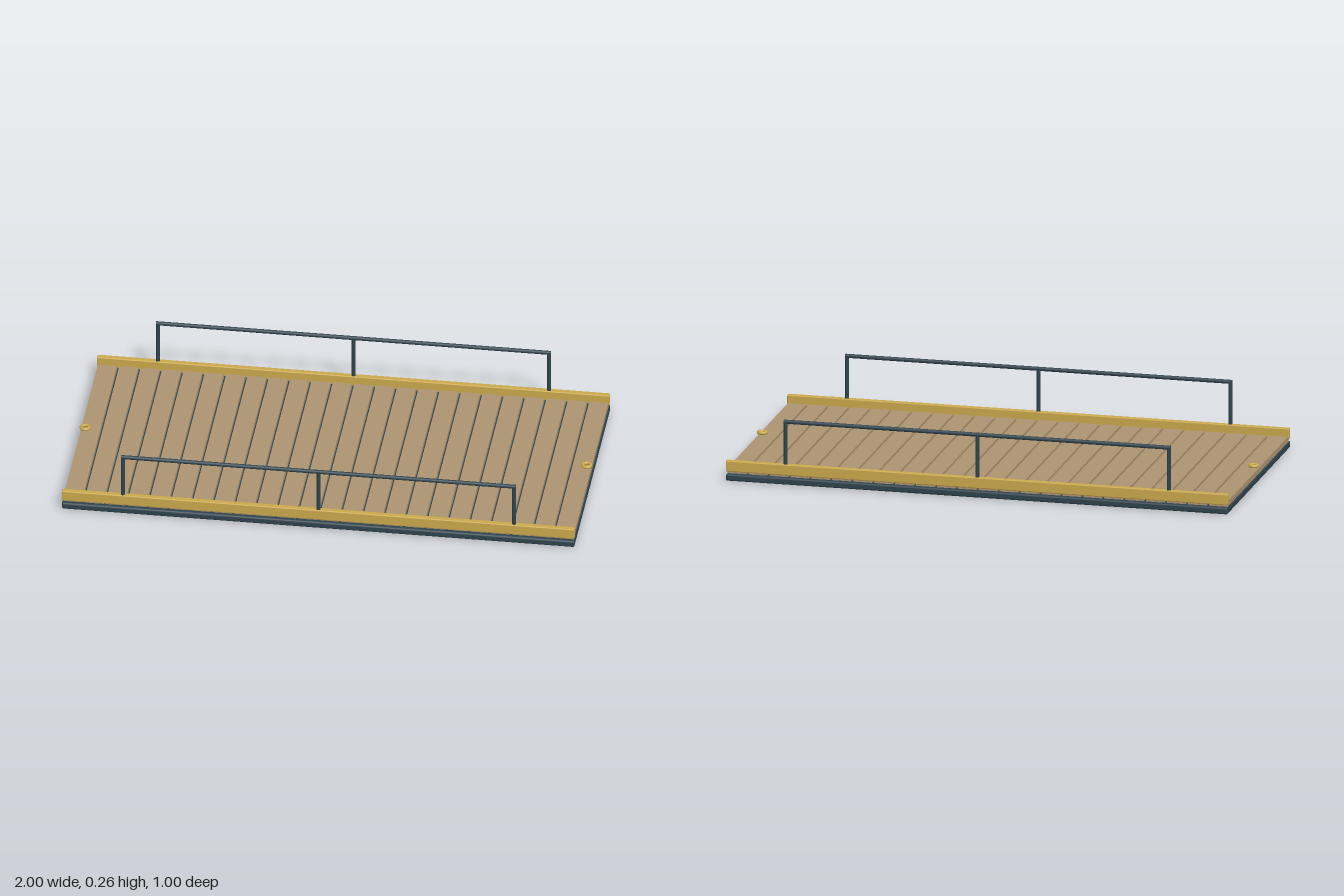
import * as THREE from 'three';
import { RoundedBoxGeometry } from 'three/addons/geometries/RoundedBoxGeometry.js';

function material(name, color) {
  const m = new THREE.MeshStandardMaterial({ color });
  m.name = name;
  return m;
}

export function createModel() {
  const group = new THREE.Group();
  const steel = material('dark slate steel', 0x2f434c);
  const wood = material('weathered wood', 0xab9370);
  const brass = material('brass yellow', 0xc9a84c);
  const rust = material('rust', 0xa0582c);

  function add(name, geometry, mat, x, y, z) {
    const mesh = new THREE.Mesh(geometry, mat);
    mesh.name = name;
    mesh.position.set(x, y, z);
    group.add(mesh);
    return mesh;
  }

  // Base slab
  add('base', new RoundedBoxGeometry(2, 0.027, 1, 2, 0.007), steel, 0, 0.0135, 0);

  // Deck planks laid across the length
  const count = 24, pitch = 2 / count;
  const plank = new THREE.BoxGeometry(pitch - 0.009, 0.022, 0.966);
  for (let i = 0; i < count; i++) {
    add('plank', plank, wood, -1 + (i + 0.5) * pitch, 0.037, 0);
  }

  // Kerb, handrail and posts on both long sides
  const kerb = new RoundedBoxGeometry(2, 0.043, 0.023, 2, 0.004);
  const rail = new THREE.CylinderGeometry(0.008, 0.008, 1.54, 16).rotateZ(Math.PI / 2);
  const post = new THREE.CylinderGeometry(0.0078, 0.0078, 0.205, 16);
  for (const side of [-1, 1]) {
    add('kerb', kerb, brass, 0, 0.0585, side * 0.4865);
    add('handrail', rail, steel, 0, 0.25, side * 0.4865);
    for (const x of [-0.763, 0, 0.763]) add('railPost', post, steel, x, 0.1475, side * 0.4865);
  }

  // Lifting rings at both ends
  const ring = new THREE.TorusGeometry(0.0155, 0.0065, 12, 28).rotateX(Math.PI / 2);
  for (const side of [-1, 1]) add('liftingRing', ring, brass, side * 0.978, 0.061, 0);

  // Rusty pads set flush into the underside
  const pad = new THREE.BoxGeometry(0.066, 0.005, 0.066);
  for (const x of [-0.6, 0.6]) {
    for (const z of [-0.39, 0.39]) add('footPad', pad, rust, x, 0.002, z);
  }

  return group;
}
